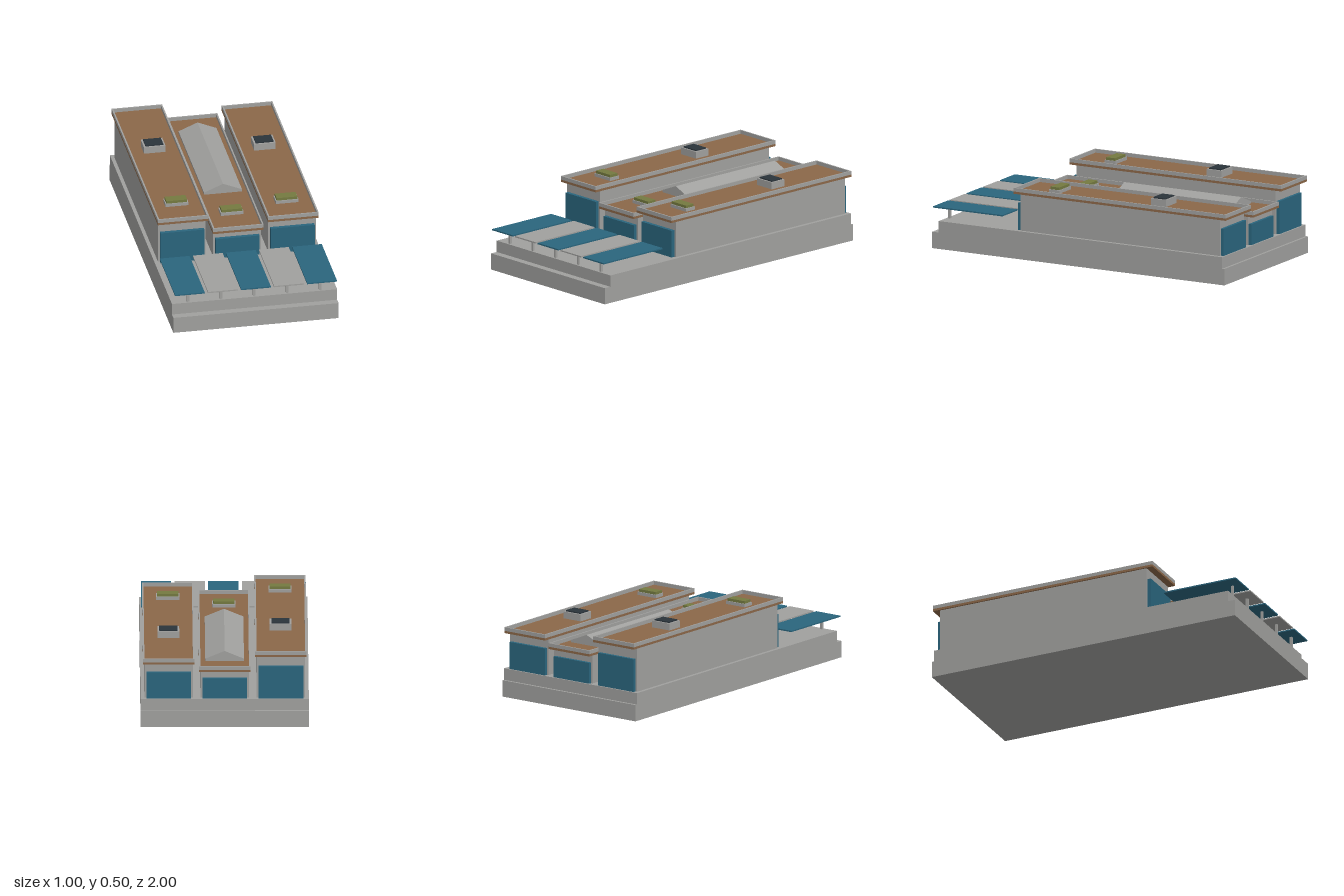
import * as THREE from 'three';

export function createModel() {
  const model = new THREE.Group();
  model.name = 'exhibitionHalls';

  const material = (name, color) => {
    const m = new THREE.MeshStandardMaterial({ color });
    m.name = name;
    return m;
  };
  const stone = material('stone', 0xa0a09e);
  const wood = material('wood', 0x8b6748);
  const glass = material('glass', 0x2a657d);
  const moss = material('moss', 0x747a40);
  const dark = material('dark', 0x2b343b);

  // Box given by its extents along each axis
  function box(parent, name, mat, [x0, x1], [y0, y1], [z0, z1]) {
    const mesh = new THREE.Mesh(new THREE.BoxGeometry(x1 - x0, y1 - y0, z1 - z0), mat);
    mesh.position.set((x0 + x1) / 2, (y0 + y1) / 2, (z0 + z1) / 2);
    mesh.name = name;
    parent.add(mesh);
    return mesh;
  }
  const around = (c, half) => [c - half, c + half];

  // Prism along z from an outline in x and y, with optional hole
  function prism(parent, name, mat, points, z0, z1) {
    const shape = new THREE.Shape(points.map(([x, y]) => new THREE.Vector2(x, y)));
    const geo = new THREE.ExtrudeGeometry(shape, { depth: z1 - z0, bevelEnabled: false });
    const mesh = new THREE.Mesh(geo, mat);
    mesh.position.z = z0;
    mesh.name = name;
    parent.add(mesh);
  }

  // Rectangular rim, extruded upward
  function parapet(parent, cx, half, y0, y1, z0, z1, t) {
    const rect = (Path, a, b, c, d) => new Path([
      new THREE.Vector2(a, c), new THREE.Vector2(b, c),
      new THREE.Vector2(b, d), new THREE.Vector2(a, d),
    ]);
    const shape = rect(THREE.Shape, -half, half, -z1, -z0);
    shape.holes.push(rect(THREE.Path, -half + t, half - t, -z1 + t, -z0 - t));
    const geo = new THREE.ExtrudeGeometry(shape, { depth: y1 - y0, bevelEnabled: false });
    geo.rotateX(-Math.PI / 2);
    const mesh = new THREE.Mesh(geo, stone);
    mesh.position.set(cx, y0, 0);
    mesh.name = 'parapet';
    parent.add(mesh);
  }

  // Stepped plinth
  box(model, 'lowerPlinth', stone, [-0.5, 0.5], [0, 0.1], [-1, 1]);
  box(model, 'upperPlinth', stone, [-0.5, 0.5], [0.1, 0.17], [-0.985, 0.955]);

  // Three long halls: centre x, roof top, glass top, whether it carries a roof unit
  const halls = [
    ['rightHall', -0.334, 0.473, 0.37, true],
    ['middleHall', 0, 0.38, 0.297, false],
    ['leftHall', 0.333, 0.427, 0.335, true],
  ];
  for (const [name, x, top, glassTop, hasUnit] of halls) {
    const hall = new THREE.Group();
    hall.name = name;
    model.add(hall);
    const deck = top - 0.022;

    box(hall, 'walls', stone, around(x, 0.1445), [0.17, top - 0.036], [-0.957, 0.407]);
    box(hall, 'frontGlass', glass, around(x, 0.133), [0.17, glassTop], [0.407, 0.43]);
    box(hall, 'backGlass', glass, around(x, 0.133), [0.17, glassTop], [-0.976, -0.957]);

    // Timber roof slab inside a stone rim
    box(hall, 'roofSlab', wood, around(x, 0.153), [top - 0.036, deck], [-1, 0.45]);
    parapet(hall, x, 0.153, deck, top, -1, 0.45, 0.009);

    // Planted skylight near the front
    box(hall, 'planterBase', stone, around(x, 0.069), [deck, top - 0.003], [0.184, 0.256]);
    box(hall, 'planterTop', moss, around(x, 0.063), [top - 0.003, top + 0.013], [0.19, 0.25]);

    if (hasUnit) {
      box(hall, 'roofUnit', stone, around(x, 0.065), [deck, top + 0.02], [-0.541, -0.439]);
      box(hall, 'roofUnitCap', dark, around(x, 0.054), [top + 0.02, top + 0.027], [-0.531, -0.449]);
    } else {
      // Long gabled lantern
      prism(hall, 'gabledLantern', stone, [
        [-0.115, deck], [0.115, deck], [0.115, 0.372], [0, 0.42], [-0.115, 0.372],
      ], -0.83, 0.03 - 0.06);
    }
  }

  // Five flat canopies on slim posts
  for (let i = -2; i <= 2; i++) {
    const x = i * 0.2;
    const canopy = new THREE.Group();
    canopy.name = 'canopy';
    model.add(canopy);
    box(canopy, 'canopyPanel', i % 2 === 0 ? glass : stone, around(x, 0.09), [0.245, 0.253], [0.525, 1]);
    box(canopy, 'canopyPost', stone, around(x, 0.007), [0.17, 0.245], [0.93, 0.944]);
  }

  return model;
}
